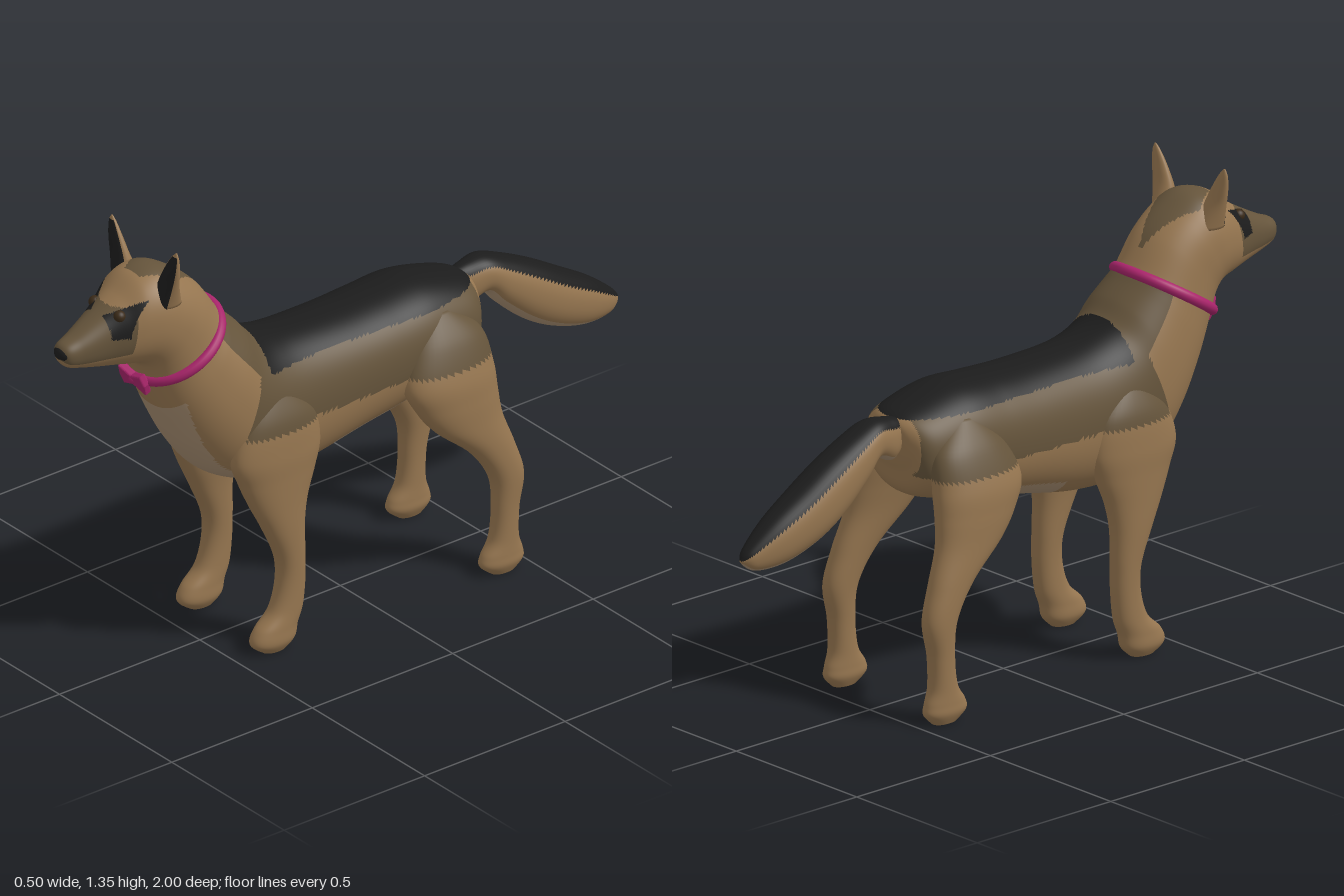
import * as THREE from 'three';

const COLORS = {
  fur: 0x967650, dark: 0x65543b, black: 0x1c1c1c, cream: 0xa38a6e, pink: 0xa8246a, eye: 0x3a2a18,
};
const materials = {};
for (const key in COLORS) materials[key] = new THREE.MeshStandardMaterial({ color: COLORS[key] });

// Smooth value at t through the rows of a section table
function sample(rows, t) {
  const n = rows.length - 1;
  const i = Math.min(Math.floor(t), n - 1), f = t - i;
  const a = rows[Math.max(i - 1, 0)], b = rows[i], c = rows[i + 1], d = rows[Math.min(i + 2, n)];
  return b.map((p, k) => {
    const m0 = (c[k] - a[k]) / 2, m1 = (d[k] - p) / 2, s = c[k] - p;
    return p + f * (m0 + f * (3 * s - 2 * m0 - m1 + f * (m0 + m1 - 2 * s)));
  });
}

// Skin over oval sections [z1, y1, z2, y2, halfWidth, centreX]; (z1,y1) and (z2,y2) are
// opposite ends of the oval. paint() picks a coat colour, and each colour becomes one mesh.
function loft(name, rows, steps, sides, paint, power = 0.9) {
  const rings = (rows.length - 1) * steps;
  const pos = [], info = [];
  const round = (v) => Math.sign(v) * Math.abs(v) ** power;
  for (let i = 0; i <= rings; i++) {
    const v = i / steps;
    const [z1, y1, z2, y2, w, cx] = sample(rows, v);
    for (let j = 0; j < sides; j++) {
      const a = (j / sides) * Math.PI * 2, c = round(Math.cos(a)), s = round(Math.sin(a));
      pos.push(cx + w * c, (y1 + y2) / 2 + (s * (y1 - y2)) / 2, (z1 + z2) / 2 + (s * (z1 - z2)) / 2);
      info.push({ v, s, c });
    }
  }
  // End cap centres
  for (const [row, v] of [[rows[0], 0], [rows[rows.length - 1], rows.length - 1]]) {
    pos.push(row[5], (row[1] + row[3]) / 2, (row[0] + row[2]) / 2);
    info.push({ v, s: 0, c: 0 });
  }
  const faces = {}, all = [];
  const tri = (...ids) => {
    const mean = (f) => ids.reduce((sum, id) => sum + f(id), 0) / 3;
    const key = paint({
      x: mean((k) => pos[3 * k]), y: mean((k) => pos[3 * k + 1]), z: mean((k) => pos[3 * k + 2]),
      v: mean((k) => info[k].v), s: mean((k) => info[k].s), c: mean((k) => info[k].c),
    });
    (faces[key] ??= []).push(...ids);
    all.push(...ids);
  };
  const last = rings * sides, first = (rings + 1) * sides;
  for (let j = 0; j < sides; j++) {
    const k = (j + 1) % sides;
    for (let i = 0; i < rings; i++) {
      const a = i * sides + j, b = i * sides + k;
      tri(a, b, a + sides);
      tri(b, b + sides, a + sides);
    }
    tri(first, k, j);
    tri(first + 1, last + j, last + k);
  }
  const base = new THREE.BufferGeometry();
  base.setAttribute('position', new THREE.Float32BufferAttribute(pos, 3));
  base.setIndex(all);
  base.computeVertexNormals();
  const group = new THREE.Group();
  group.name = name;
  for (const key in faces) {
    const geo = new THREE.BufferGeometry();
    geo.setAttribute('position', base.attributes.position);
    geo.setAttribute('normal', base.attributes.normal);
    geo.setIndex(faces[key]);
    group.add(part(`${name} ${key}`, geo, key));
  }
  return group;
}

function part(name, geometry, color) {
  const mesh = new THREE.Mesh(geometry, materials[color]);
  mesh.name = name;
  return mesh;
}

const HX = -0.01; // head and collar centre line

// Rump to nose
const BODY = [
  [-0.445, 0.82, -0.43, 0.76, 0.02, 0], [-0.43, 0.855, -0.415, 0.7, 0.09, 0],
  [-0.37, 0.88, -0.38, 0.615, 0.145, 0], [-0.235, 0.91, -0.22, 0.57, 0.168, 0],
  [-0.1, 0.905, -0.11, 0.545, 0.172, 0], [0.03, 0.9, 0, 0.525, 0.172, 0],
  [0.2, 0.905, 0.2, 0.485, 0.172, 0], [0.29, 0.92, 0.36, 0.485, 0.175, 0],
  [0.355, 0.95, 0.5, 0.545, 0.175, 0], [0.4, 1.0, 0.585, 0.64, 0.17, 0],
  [0.445, 1.045, 0.655, 0.77, 0.155, HX / 2], [0.47, 1.075, 0.705, 0.89, 0.14, HX],
  [0.53, 1.16, 0.722, 0.94, 0.135, HX], [0.6, 1.22, 0.735, 0.965, 0.134, HX],
  [0.67, 1.255, 0.755, 0.978, 0.13, HX], [0.74, 1.245, 0.79, 0.985, 0.115, HX],
  [0.8, 1.2, 0.83, 0.993, 0.092, HX], [0.86, 1.163, 0.87, 1.0, 0.07, HX],
  [0.94, 1.12, 0.93, 1.015, 0.05, HX], [0.985, 1.1, 0.975, 1.03, 0.036, HX],
  [0.998, 1.075, 0.996, 1.055, 0.012, HX],
];

// Coat of the trunk, shared by the tops of the legs
function coat({ x, y, z }) {
  if (y > 0.853 && z < 0.36 && Math.abs(x) < 0.145) return 'black';
  if (y > 0.69 && z < 0.47 - (y - 0.69) * 0.37 && z > -0.41) return 'dark';
  return 'fur';
}

function bodyCoat(p) {
  const side = Math.abs(p.x - HX);
  if (p.v < 11) {
    if (p.v > 7.1 && p.v < 10.3 && p.s < -0.25 && Math.abs(p.x) < 0.112) return 'cream';
    if (p.v > 3.6 && p.v < 5.6 && p.s < -0.72) return 'cream';
    if (p.v > 8 && p.s > 0.55) return coat(p) === 'black' ? 'black' : 'dark';
    return coat(p);
  }
  // Mask, muzzle and crown
  if (p.z > 0.75 && p.z < 0.86 && p.y > 1.1 && p.y < 1.145 + side * 0.6 && side < 0.094 && side > 0.018) return 'black';
  if (p.v > 15.6 && p.s > -0.5 && p.y < 1.18) return 'dark';
  if (p.v > 11.6 && p.v < 14.9 && p.s > 0 && side < 0.085 - Math.abs(p.v - 13.6) * 0.04) return 'dark';
  return 'fur';
}

// Rows: [y, front z, back z, centre x, half width], from the top down
const FRONT_LEG = [
  [0.8, 0.4, 0.3, 0.13, 0.03], [0.72, 0.465, 0.22, 0.143, 0.055], [0.62, 0.5, 0.2, 0.148, 0.061],
  [0.54, 0.475, 0.22, 0.15, 0.058], [0.46, 0.44, 0.25, 0.155, 0.052], [0.38, 0.4, 0.265, 0.16, 0.046],
  [0.28, 0.358, 0.265, 0.162, 0.04], [0.2, 0.355, 0.265, 0.163, 0.037], [0.12, 0.38, 0.273, 0.163, 0.038],
  [0.07, 0.43, 0.29, 0.163, 0.041], [0.03, 0.445, 0.3, 0.163, 0.042], [0, 0.41, 0.33, 0.163, 0.026],
];
const HIND_LEG = [
  [0.84, -0.2, -0.3, 0.1, 0.04], [0.76, -0.14, -0.38, 0.14, 0.06], [0.66, -0.1, -0.4, 0.166, 0.072],
  [0.58, -0.13, -0.405, 0.18, 0.066], [0.5, -0.19, -0.415, 0.19, 0.057], [0.4, -0.305, -0.45, 0.2, 0.048],
  [0.3, -0.37, -0.478, 0.206, 0.042], [0.2, -0.38, -0.462, 0.207, 0.036], [0.11, -0.37, -0.46, 0.207, 0.036],
  [0.06, -0.34, -0.475, 0.207, 0.038], [0.03, -0.335, -0.478, 0.207, 0.038], [0, -0.37, -0.45, 0.207, 0.024],
];

// Tip to root
const TAIL = [
  [-1, 0.57, -0.998, 0.56, 0.008], [-0.98, 0.6, -0.955, 0.53, 0.032], [-0.9, 0.665, -0.86, 0.53, 0.058],
  [-0.8, 0.727, -0.75, 0.565, 0.072], [-0.7, 0.787, -0.655, 0.62, 0.074], [-0.6, 0.837, -0.565, 0.7, 0.068],
  [-0.52, 0.867, -0.515, 0.755, 0.058], [-0.455, 0.862, -0.45, 0.735, 0.045], [-0.41, 0.85, -0.41, 0.77, 0.03],
].map((r) => [...r, -0.02]);

const EAR = [
  [0.692, 1.35, 0.688, 1.35, 0.003, 0.143], [0.698, 1.33, 0.683, 1.33, 0.016, 0.138],
  [0.704, 1.29, 0.677, 1.29, 0.029, 0.125], [0.71, 1.24, 0.667, 1.24, 0.037, 0.108],
  [0.725, 1.17, 0.64, 1.17, 0.04, 0.088],
];

export function createModel() {
  const dog = new THREE.Group();
  dog.name = 'dog';
  dog.add(loft('body', BODY, 10, 120, bodyCoat));
  dog.add(loft('tail', TAIL, 8, 48, ({ s }) => (s > 0.6 ? 'black' : s < -0.75 ? 'cream' : 'fur')));

  for (const m of [1, -1]) {
    const label = m > 0 ? 'left' : 'right';
    for (const [name, rows] of [['FrontLeg', FRONT_LEG], ['HindLeg', HIND_LEG]]) {
      const sections = rows.map(([y, zf, zb, x, w]) => [zf, y, zb, y, w, m * x]);
      dog.add(loft(label + name, sections, 8, 40, coat));
    }
    const ear = EAR.map((r) => [...r.slice(0, 5), m * r[5] + HX]);
    dog.add(loft(label + 'Ear', ear, 6, 32, ({ s, c, v }) => (s > 0 && Math.abs(c) < 0.85 && v > 0.7 ? 'black' : 'fur')));

    const eye = part(label + 'Eye', new THREE.SphereGeometry(0.018, 20, 14), 'eye');
    eye.position.set(HX + m * 0.055, 1.158, 0.822);
    dog.add(eye);
  }

  const nose = part('nose', new THREE.SphereGeometry(1, 24, 16), 'black');
  nose.scale.set(0.034, 0.026, 0.024);
  nose.position.set(HX, 1.072, 0.976);
  dog.add(nose);

  // Collar ring, tilted square to the neck
  const collar = part('collar', new THREE.TorusGeometry(0.148, 0.016, 14, 64), 'pink');
  collar.position.set(HX - 0.003, 0.985, 0.588);
  collar.rotation.x = -1.005;
  dog.add(collar);

  // Bow: flared outline with a round knot
  const outline = new THREE.Shape();
  outline.moveTo(0, 0.011);
  for (const [x, y] of [[0.044, 0.028], [0.05, 0], [0.044, -0.028], [0, -0.011], [-0.044, -0.028], [-0.05, 0], [-0.044, 0.028]]) outline.lineTo(x, y);
  outline.closePath();
  const ribbon = new THREE.ExtrudeGeometry(outline, { depth: 0.012, bevelSize: 0.005, bevelThickness: 0.006, bevelSegments: 3 });
  ribbon.translate(0, 0, -0.006);
  const knot = part('bowKnot', new THREE.SphereGeometry(0.017, 16, 12), 'pink');
  const bow = new THREE.Group();
  bow.name = 'bow';
  bow.add(part('bowRibbon', ribbon, 'pink'), knot);
  bow.position.set(HX, 0.905, 0.725);
  bow.rotation.x = 0.35;
  dog.add(bow);
  return dog;
}
